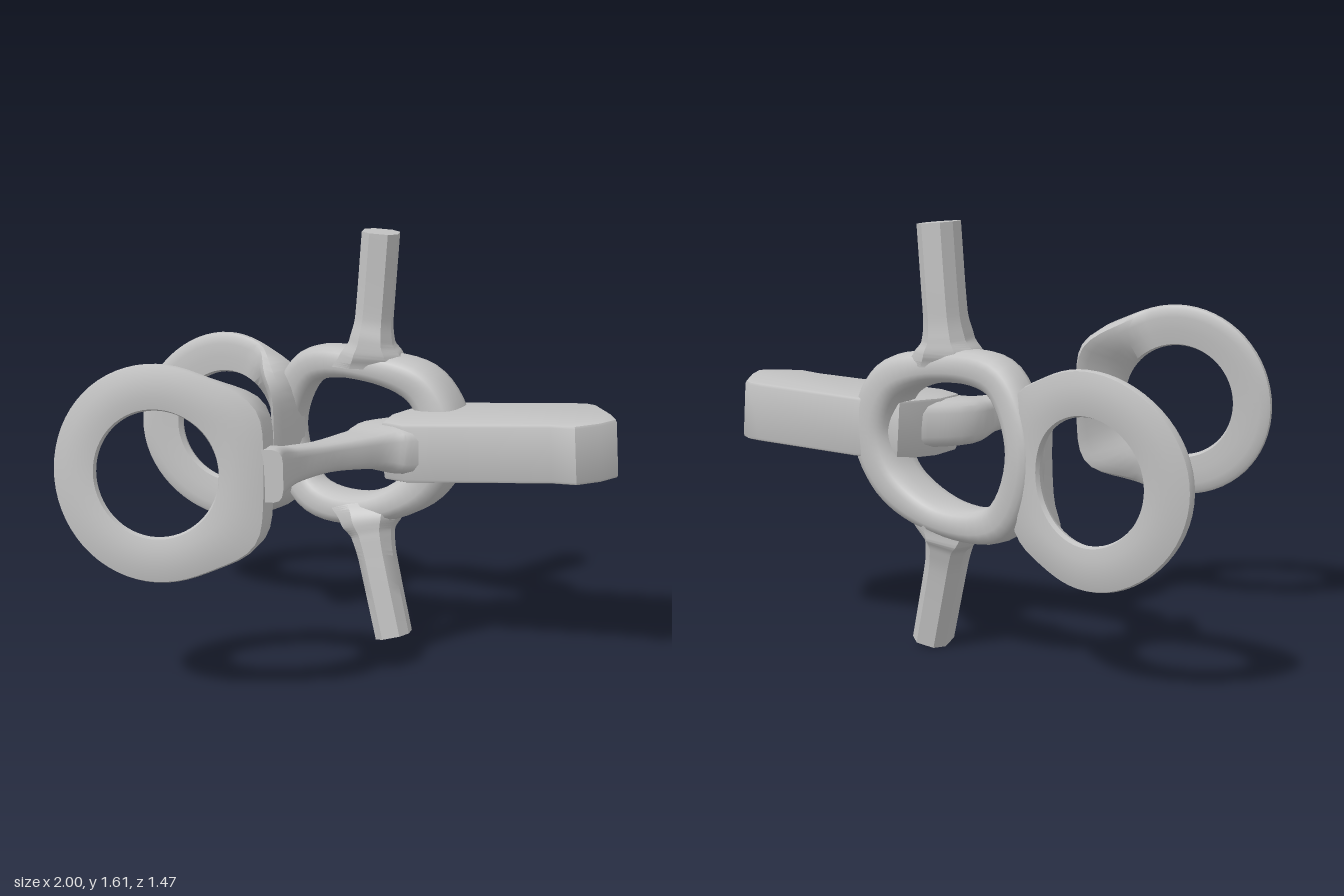
import * as THREE from 'three';
import { toCreasedNormals } from 'three/addons/utils/BufferGeometryUtils.js';

// Surface from rows of section points; rows may close on themselves or get flat caps
function skin(rows, closed) {
  const n = rows[0].length, m = rows.length, pos = [], idx = [];
  rows.forEach(r => r.forEach(p => pos.push(p.x, p.y, p.z)));
  for (let i = 0; i < (closed ? m : m - 1); i++) {
    for (let j = 0; j < n; j++) {
      const k = (j + 1) % n, a = i * n, b = ((i + 1) % m) * n;
      idx.push(a + j, a + k, b + j, a + k, b + k, b + j);
    }
  }
  if (!closed) {
    const e = (m - 1) * n;
    for (let j = 1; j < n - 1; j++) {
      idx.push(0, j + 1, j);
      idx.push(e, e + j, e + j + 1);
    }
  }
  const g = new THREE.BufferGeometry();
  g.setAttribute('position', new THREE.Float32BufferAttribute(pos, 3));
  g.setIndex(idx);
  return toCreasedNormals(g, 0.65);
}

// Sweep a rounded section along stations [x, y, z, width, depth]; depth follows axis
function sweep(stations, axis, { closed = false, power = 0.75, steps = 28, sides = 16 } = {}) {
  const path = new THREE.CatmullRomCurve3(stations.map(s => new THREE.Vector3(s[0], s[1], s[2])), closed, 'centripetal');
  const size = new THREE.CatmullRomCurve3(stations.map(s => new THREE.Vector3(s[3], s[4], 0)), closed, 'catmullrom', 0.3);
  const rows = [];
  for (let i = 0; i < (closed ? steps : steps + 1); i++) {
    const t = i / steps, p = path.getPoint(t), T = path.getTangent(t), s = size.getPoint(t);
    const N = axis.clone().cross(T).normalize(), B = T.clone().cross(N);
    const row = [];
    for (let j = 0; j < sides; j++) {
      const a = (j + 0.5) / sides * Math.PI * 2, c = Math.cos(a), d = Math.sin(a);
      row.push(p.clone()
        .addScaledVector(N, Math.sign(c) * Math.abs(c) ** power * s.x / 2)
        .addScaledVector(B, Math.sign(d) * Math.abs(d) ** power * s.y / 2));
    }
    rows.push(row);
  }
  return skin(rows, closed);
}

// Bent washer with a raised lip on the inner face towards +x
function ringGeometry(bulge, lipHeight) {
  // radial fraction, height, share of lip
  const section = [[0.04, 0.016, 0], [0.3, 0.024, 0], [0.7, 0.022, 0], [0.97, 0.01, 0], [1, -0.004, 0],
    [0.98, -0.018, 0.8], [0.9, -0.026, 1], [0.72, -0.03, 0.85], [0.4, -0.03, 0.3], [0.05, -0.024, 0], [0, -0.002, 0]];
  const rows = [];
  for (let i = 0; i < 64; i++) {
    const t = i / 64 * Math.PI * 2, off = Math.min(t, Math.PI * 2 - t);
    const outer = 0.39 + 0.045 * Math.exp(-(((off - 0.6) / 0.3) ** 2));
    const lip = lipHeight * (1 - THREE.MathUtils.smoothstep(off, 0.6, 1.2));
    rows.push(section.map(([u, h, l]) => {
      const r = 0.225 + (outer - 0.225) * u, x = r * Math.cos(t);
      return new THREE.Vector3(x, r * Math.sin(t), h - l * lip + bulge * (1 - (x / 0.39) ** 2));
    }));
  }
  return skin(rows, true);
}

export function createModel() {
  const model = new THREE.Group();
  model.name = 'ringBracket';
  const grey = new THREE.MeshStandardMaterial({ color: 0xc2c2c2 });
  grey.name = 'plain grey';
  const add = (name, geometry) => {
    const mesh = new THREE.Mesh(geometry, grey);
    mesh.name = name;
    model.add(mesh);
    return mesh;
  };
  const Y = new THREE.Vector3(0, 1, 0), Z = new THREE.Vector3(0, 0, 1);

  // Two facing rings
  const front = add('frontRing', ringGeometry(0.025, 0.14));
  front.position.set(-0.61, 0.85, 0.655);
  front.rotation.set(-0.08, -0.075, 0);
  const back = add('backRing', ringGeometry(0.065, 0.2).rotateX(Math.PI));
  back.position.set(-0.62, 0.75, -0.575);
  back.rotation.set(-0.04, -0.365, 0);

  // Flat handle plate
  const outline = [[0.2, 0.12], [0.35, 0.14], [0.75, 0.19], [0.84, 0.225], [0.93, 0.18], [0.985, 0.12],
    [0.965, 0.02], [0.91, -0.15], [0.88, -0.18], [0.83, -0.195], [0.4, -0.265], [0.24, -0.25], [0.14, -0.08], [0.12, 0.06]];
  const shape = new THREE.Shape(outline.map(([x, z]) => new THREE.Vector2(x, -z)));
  const plate = new THREE.ExtrudeGeometry(shape, {
    depth: 0.2, bevelEnabled: true, bevelThickness: 0.012, bevelSize: 0.012, bevelOffset: -0.006, bevelSegments: 2,
  });
  plate.rotateX(-Math.PI / 2).rotateZ(0.055).translate(0.012, 0.711, 0);
  add('handlePlate', toCreasedNormals(plate, 0.65));

  // Arm from the plate to the front ring
  add('frontArm', sweep([
    [-0.225, 0.86, 0.69, 0.14, 0.19], [-0.215, 0.86, 0.61, 0.12, 0.18], [-0.165, 0.855, 0.48, 0.1, 0.13],
    [-0.075, 0.85, 0.33, 0.115, 0.11], [0.04, 0.84, 0.16, 0.18, 0.13], [0.12, 0.83, 0.05, 0.28, 0.18],
    [0.26, 0.83, -0.03, 0.3, 0.19],
  ], Y, { power: 0.45 }));

  // Oval frame between the plate and the back ring
  add('ovalFrame', sweep([
    [0.34, 0.82, -0.18, 0.18, 0.21], [0.26, 1.01, -0.215, 0.16, 0.2], [0.04, 1.08, -0.28, 0.12, 0.19],
    [-0.22, 1.05, -0.4, 0.14, 0.15], [-0.32, 0.8, -0.465, 0.13, 0.13], [-0.22, 0.54, -0.39, 0.14, 0.15],
    [0.03, 0.51, -0.27, 0.12, 0.21], [0.26, 0.63, -0.205, 0.16, 0.2],
  ], new THREE.Vector3(-0.39, 0, 0.92), { closed: true, steps: 56, power: 0.68 }));

  // Upper and lower eight-sided pegs with flared roots
  add('upperPeg', sweep([
    [0.035, 1.08, -0.275, 0.32, 0.18], [0.035, 1.13, -0.275, 0.25, 0.22], [0.037, 1.18, -0.275, 0.18, 0.215],
    [0.045, 1.27, -0.28, 0.15, 0.19], [0.07, 1.605, -0.28, 0.148, 0.186],
  ], Z, { sides: 8 }));
  add('lowerPeg', sweep([
    [0.14, 0.018, -0.16, 0.143, 0.186], [0.07, 0.32, -0.205, 0.148, 0.195], [0.049, 0.41, -0.225, 0.17, 0.21],
    [0.038, 0.46, -0.24, 0.24, 0.23], [0.03, 0.515, -0.265, 0.31, 0.19],
  ], Z, { sides: 8 }));

  return model;
}
